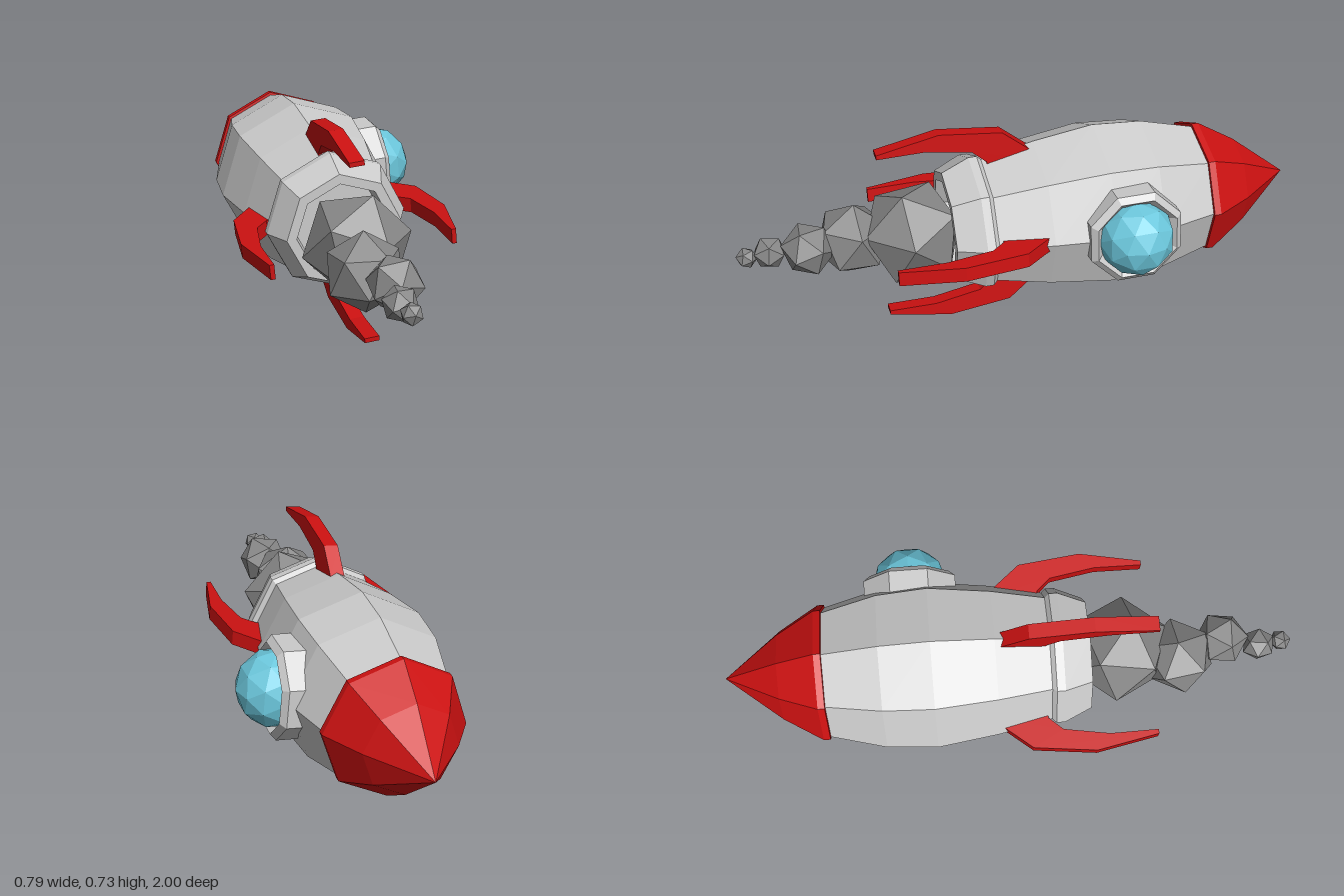
import * as THREE from 'three';

const mat = (color, side = THREE.FrontSide) =>
  new THREE.MeshStandardMaterial({ color, flatShading: true, side });

const grey = mat(0xcccccc, THREE.DoubleSide);
const red = mat(0xcc1111, THREE.DoubleSide);
const glass = mat(0x6cc8dd);
const smoke = mat(0x888888);

function add(parent, name, geometry, material) {
  const mesh = new THREE.Mesh(geometry, material);
  mesh.name = name;
  parent.add(mesh);
  return mesh;
}

// Eight-sided turned part; profile points are [radius, distance along the axis]
const turned = (points, start = 0) =>
  new THREE.LatheGeometry(points.map(([r, s]) => new THREE.Vector2(r, s)), 8, start);

export function createModel() {
  const model = new THREE.Group();
  model.name = 'rocketWithTrail';

  // Rocket space: nose tip at the origin, +z runs back to the engine
  const rocket = new THREE.Group();
  rocket.name = 'rocket';
  rocket.position.set(-0.22, 0.4, -1);
  rocket.rotation.set(0.012, 0.196, 0.096, 'YXZ');
  model.add(rocket);

  // Nose cone with a small lip
  add(rocket, 'noseCone',
    turned([[0, 0], [0.163, 0.2], [0.249, 0.338], [0.249, 0.362], [0.236, 0.364]]).rotateX(Math.PI / 2), red);

  // Barrel-shaped hull
  add(rocket, 'hull',
    turned([[0.238, 0.36], [0.292, 0.56], [0.306, 0.74], [0.276, 0.96], [0.235, 1.15]]).rotateX(Math.PI / 2), grey);

  // Engine collar with recessed opening
  add(rocket, 'engineCollar',
    turned([[0.235, 1.15], [0.25, 1.165], [0.25, 1.195], [0.205, 1.294], [0.17, 1.294], [0.16, 1.24], [0, 1.24]])
      .rotateX(Math.PI / 2), grey);

  // Porthole on the model's left side
  const porthole = new THREE.Group();
  porthole.name = 'porthole';
  porthole.position.z = 0.678;
  rocket.add(porthole);
  add(porthole, 'portholeFrame',
    turned([[0.165, 0.2], [0.178, 0.225], [0.178, 0.305], [0.155, 0.325], [0.132, 0.3], [0.125, 0.24]], Math.PI / 8)
      .rotateZ(-Math.PI / 2), grey);
  add(porthole, 'portholeGlass', new THREE.IcosahedronGeometry(0.136, 1), glass).position.x = 0.302;

  // Four swept fins
  const outline = [[0.23, 0.98], [0.261, 0.98], [0.339, 1.075], [0.365, 1.299], [0.322, 1.522],
    [0.306, 1.522], [0.308, 1.35], [0.28, 1.185], [0.235, 1.135], [0.21, 1.135]];
  const finGeometry = new THREE.ExtrudeGeometry(
    new THREE.Shape(outline.map(([r, s]) => new THREE.Vector2(r, s))), { depth: 0.052, bevelEnabled: false })
    .translate(0, 0, -0.026).rotateX(Math.PI / 2);
  for (let i = 0; i < 4; i++) {
    add(rocket, 'fin' + (i + 1), finGeometry, red).rotation.z = i * Math.PI / 2;
  }

  // Shrinking smoke puffs: [x, y, z, radius]
  [
    [0.062, 0.377, 0.385, 0.19],
    [0.064, 0.362, 0.6, 0.138],
    [0.143, 0.379, 0.75, 0.097],
    [0.14, 0.368, 0.885, 0.061],
    [0.164, 0.366, 0.963, 0.038],
  ].forEach(([x, y, z, r], i) => {
    const puff = add(model, 'smokePuff' + (i + 1), new THREE.IcosahedronGeometry(r, 0), smoke);
    puff.position.set(x, y, z);
    puff.rotation.set(0.4 + i * 1.3, 0.7 + i * 0.9, 0.2 + i * 0.6);
  });

  return model;
}
